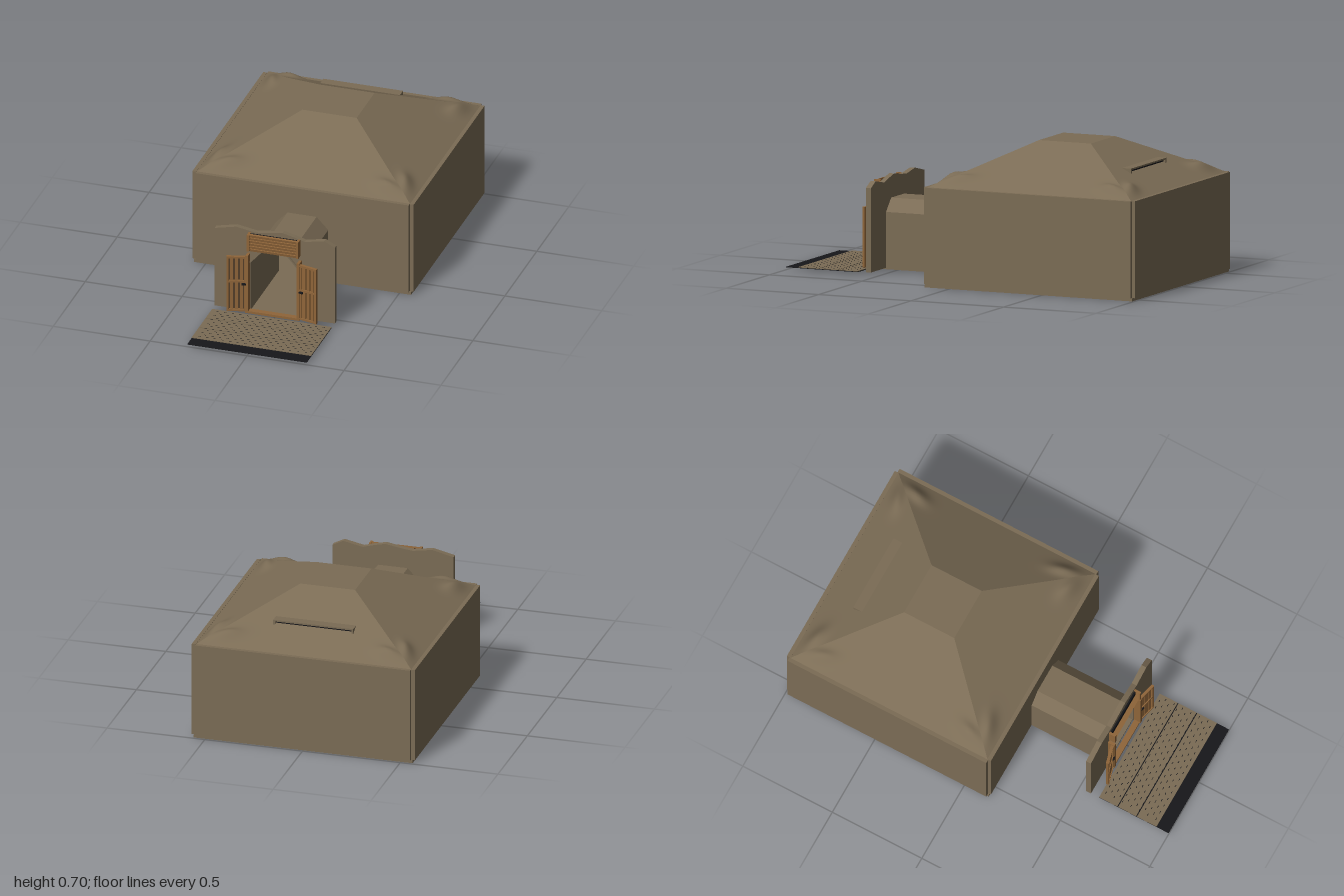
import * as THREE from 'three';

const mat = (name, color) => {
  const m = new THREE.MeshStandardMaterial({ color });
  m.name = name;
  return m;
};

export function createModel() {
  const clay = mat('clay', 0x7b6c55);
  const wood = mat('wood', 0x8f6539);
  const black = mat('black', 0x17171a);
  const roofClay = mat('roofClay', 0x7b6c55);
  roofClay.side = THREE.DoubleSide;
  const model = new THREE.Group();

  const group = (name, parent = model) => {
    const g = new THREE.Group();
    g.name = name;
    parent.add(g);
    return g;
  };
  const add = (parent, name, geo, m) => {
    const mesh = new THREE.Mesh(geo, m);
    mesh.name = name;
    parent.add(mesh);
    return mesh;
  };
  // Box given by its minimum and maximum corners
  const box = (parent, name, m, x0, x1, y0, y1, z0, z1) => {
    const b = add(parent, name, new THREE.BoxGeometry(x1 - x0, y1 - y0, z1 - z0), m);
    b.position.set((x0 + x1) / 2, (y0 + y1) / 2, (z0 + z1) / 2);
    return b;
  };
  // Outline extruded along z from z0 to z1
  const extrude = (parent, name, m, pts, z0, z1) => {
    const shape = new THREE.Shape(pts.map(p => new THREE.Vector2(...p)));
    const geo = new THREE.ExtrudeGeometry(shape, { depth: z1 - z0, bevelEnabled: false });
    add(parent, name, geo, m).position.z = z0;
  };
  // Chamfered doorway outline, from the left foot over the top to the right foot
  const arch = (w, shoulder, flat, top) =>
    [[-w, 0.015], [-w, shoulder], [-flat, top], [flat, top], [w, shoulder], [w, 0.015]];
  const doorway = arch(0.125, 0.285, 0.07, 0.347);

  // House: floor slab and four separate wall panels
  const house = group('house');
  box(house, 'floorSlab', clay, -0.56, 0.56, 0, 0.015, -0.99, 0.133);
  box(house, 'backWall', clay, -0.55, 0.55, 0.015, 0.495, -1, -0.98);
  for (const s of [-1, 1])
    box(house, 'sideWall', clay, s * 0.561 - 0.01, s * 0.561 + 0.01, 0.015, 0.495, -0.985, 0.125);
  extrude(house, 'frontWall', clay,
    [[-0.55, 0.015], ...doorway, [0.55, 0.015], [0.55, 0.495], [-0.55, 0.495]], 0.12, 0.14);

  // Roof: four slopes with soft swellings beside the hips, and a flat cap
  const roof = group('roof');
  roof.position.set(0, 0, -0.43);
  const slope = new THREE.PlaneGeometry(2, 1, 48, 32);
  const p = slope.attributes.position;
  for (let i = 0; i < p.count; i++) {
    const s = p.getX(i), t = p.getY(i) + 0.5;
    const half = THREE.MathUtils.lerp(0.552, 0.14, t);
    const swell = 0.027 * Math.exp(-(((t - 0.17) / 0.09) ** 2) - ((Math.abs(s) - 0.85) / 0.13) ** 2);
    p.setXYZ(i, s * half, 0.493 + 0.207 * t + swell, half);
  }
  slope.computeVertexNormals();
  for (let k = 0; k < 4; k++)
    add(roof, 'roofSlope', slope, roofClay).rotation.y = k * Math.PI / 2;
  const cap = add(roof, 'roofCap', new THREE.PlaneGeometry(0.28, 0.28), roofClay);
  cap.rotation.x = -Math.PI / 2;
  cap.position.y = 0.7;

  // Vent on the back slope
  const vent = group('vent');
  box(vent, 'ventHood', clay, -0.205, 0.205, 0.592, 0.6, -0.818, -0.77);
  for (const s of [-1, 1])
    box(vent, 'ventCheek', clay, s * 0.2 - 0.005, s * 0.2 + 0.005, 0.57, 0.595, -0.818, -0.77);
  box(vent, 'ventOpening', black, -0.195, 0.195, 0.57, 0.592, -0.806, -0.8);

  // Entrance corridor: a chamfered tunnel open at the bottom, with its own floor
  const corridor = group('corridor');
  extrude(corridor, 'corridorShell', clay,
    [...arch(0.135, 0.292, 0.075, 0.355), ...[...doorway].reverse()], 0.14, 0.545);
  box(corridor, 'corridorFloor', clay, -0.134, 0.134, 0.008, 0.018, 0.13, 0.56);

  // Facade slab with an uneven top
  extrude(model, 'facade', clay,
    [[-0.31, 0.015], ...doorway, [0.31, 0.015], [0.31, 0.432], [0.255, 0.46], [0.155, 0.44],
      [0.1, 0.456], [0.04, 0.47], [-0.02, 0.46], [-0.1, 0.45], [-0.2, 0.467], [-0.31, 0.442]], 0.54, 0.567);

  // Door frame: posts, threshold and corner braces
  const frame = group('doorFrame');
  for (const s of [-1, 1]) {
    box(frame, 'doorPost', wood, s * 0.133 - 0.007, s * 0.133 + 0.007, 0.02, 0.335, 0.568, 0.605);
    const brace = add(frame, 'cornerBrace', new THREE.BoxGeometry(0.085, 0.007, 0.01), clay);
    brace.position.set(s * 0.098, 0.318, 0.572);
    brace.rotation.z = -s * 0.85;
  }
  box(frame, 'threshold', wood, -0.126, 0.126, 0.017, 0.029, 0.57, 0.6);

  // Slatted shutter above the doorway
  const shutter = group('shutter');
  for (const s of [-1, 1])
    box(shutter, 'shutterStile', wood, s * 0.127 - 0.006, s * 0.127 + 0.006, 0.36, 0.45, 0.57, 0.605);
  box(shutter, 'shutterBack', black, -0.125, 0.125, 0.362, 0.446, 0.572, 0.58);
  for (let i = 0; i < 6; i++) {
    const slat = add(shutter, 'shutterSlat', new THREE.BoxGeometry(0.244, 0.013, 0.012), wood);
    slat.position.set(0, 0.367 + i * 0.0152, 0.592);
    slat.rotation.x = 0.2;
  }

  // Pair of open doors
  for (const s of [-1, 1]) {
    const door = group(s > 0 ? 'leftDoor' : 'rightDoor');
    door.position.set(s * 0.14, 0, 0.585);
    door.rotation.y = -s * 0.25;
    const part = (name, m, x0, x1, y0, y1, z0, z1) =>
      box(door, name, m, Math.min(s * x0, s * x1), Math.max(s * x0, s * x1), y0, y1, z0, z1);
    for (const x of [0, 0.086]) part('doorStile', wood, x, x + 0.012, 0.025, 0.325, 0, 0.014);
    for (const y of [0.025, 0.183, 0.315]) part('doorRail', wood, 0.002, 0.096, y, y + 0.01, 0, 0.015);
    for (let i = 0; i < 3; i++)
      part('doorPlank', wood, 0.015 + i * 0.024, 0.034 + i * 0.024, 0.03, 0.32, 0.002, 0.01);
    part('doorBacking', black, 0.008, 0.09, 0.03, 0.32, 0, 0.002);
    part('doorHandle', black, 0.002, 0.022, 0.172, 0.181, 0.012, 0.022);
  }

  // Bench inside the room with a low mound behind it
  const bench = group('bench');
  box(bench, 'benchTop', wood, -0.125, 0.125, 0.085, 0.127, -0.8, -0.64);
  for (const s of [-1, 1])
    box(bench, 'benchLeg', wood, s * 0.118 - 0.008, s * 0.118 + 0.008, 0.015, 0.085, -0.8, -0.64);
  box(bench, 'benchStep', clay, -0.052, 0.052, 0.015, 0.082, -0.7, -0.62);
  const mound = add(bench, 'mound', new THREE.SphereGeometry(1, 16, 8), clay);
  mound.scale.set(0.11, 0.02, 0.07);
  mound.position.set(0, 0.122, -0.73);

  // Forecourt: a thin dark sheet paved with strips, leaving a dark front margin
  const path = group('path');
  box(path, 'pathBase', black, -0.308, 0.308, 0.012, 0.015, 0.612, 1);
  for (const [z0, z1] of [[0.612, 0.713], [0.718, 0.818], [0.823, 0.932]])
    box(path, 'pavingStrip', clay, -0.308, 0.308, 0.015, 0.018, z0, z1);
  // Short joints between the paving stones
  const joint = new THREE.BoxGeometry(0.012, 0.001, 0.003);
  for (let r = 0; r < 13; r++)
    for (let c = 0; c < 15; c++)
      add(path, 'pavingJoint', joint, black)
        .position.set((c - 7 + (r % 2) * 0.5) * 0.039, 0.0182, 0.63 + r * 0.0235);

  return model;
}
